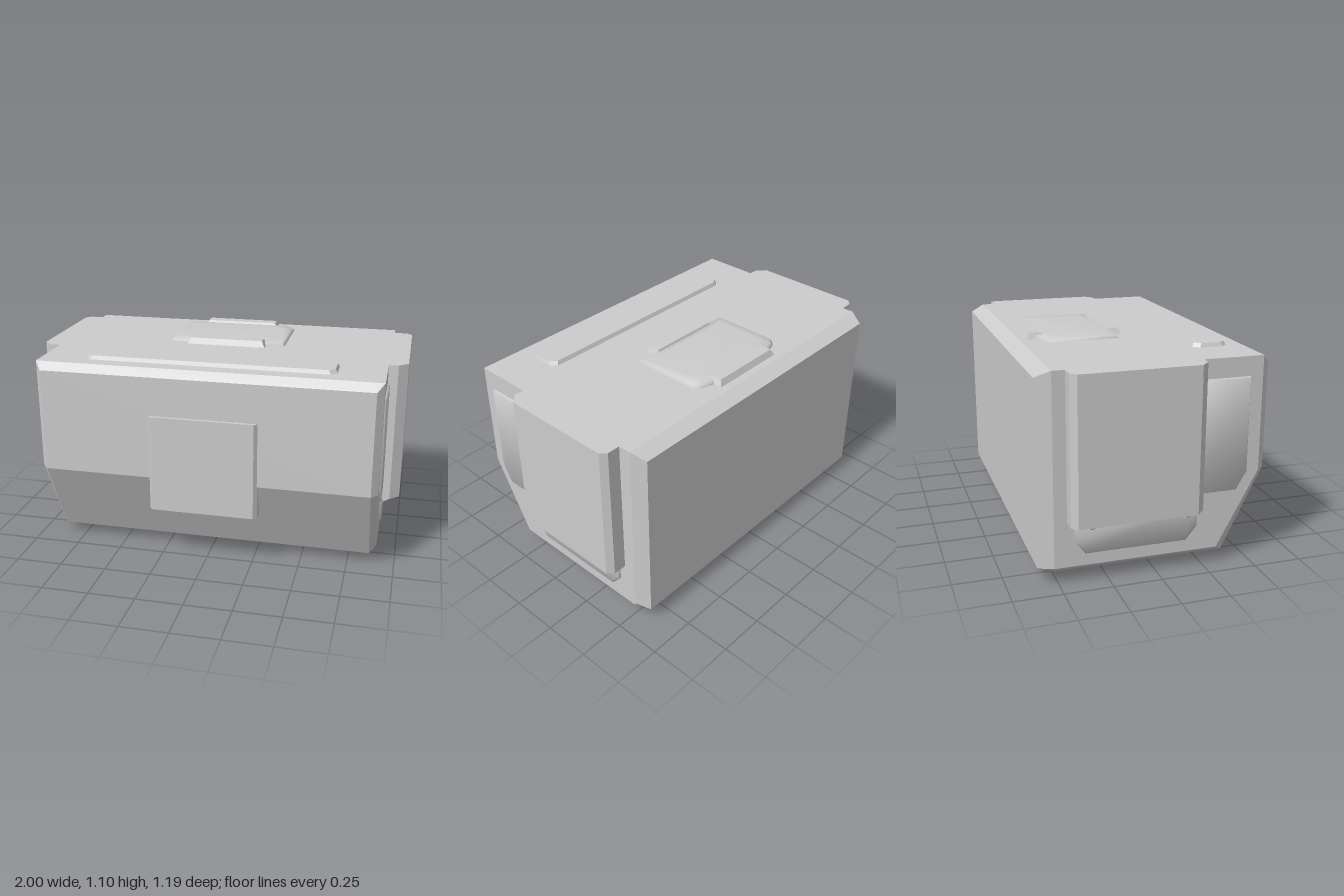
import * as THREE from 'three';
import { toCreasedNormals } from 'three/addons/utils/BufferGeometryUtils.js';

const material = new THREE.MeshStandardMaterial({ color: 0xcccccc });

// Closed solid through matching convex rings of [x, y, z] points.
function loft(name, rings, crease = 0.15) {
  const n = rings[0].length;
  const tris = [];
  for (let r = 0; r < rings.length - 1; r++) {
    for (let i = 0; i < n; i++) {
      const j = (i + 1) % n;
      const [a, b, c, d] = [rings[r][i], rings[r][j], rings[r + 1][j], rings[r + 1][i]];
      tris.push([a, b, c], [a, c, d]);
    }
  }
  const last = rings[rings.length - 1];
  for (let i = 1; i < n - 1; i++) {
    tris.push([rings[0][0], rings[0][i + 1], rings[0][i]], [last[0], last[i], last[i + 1]]);
  }
  // Signed volume tells whether the faces point outwards
  const v = tris.map((t) => t.map((p) => new THREE.Vector3(...p)));
  const volume = v.reduce((s, [a, b, c]) => s + a.dot(b.clone().cross(c)), 0);
  const solid = v.filter(([a, b, c]) => b.clone().sub(a).cross(c.clone().sub(a)).length() > 1e-9);
  const points = solid.flatMap(([a, b, c]) => (volume > 0 ? [a, b, c] : [a, c, b]));
  const geometry = new THREE.BufferGeometry().setFromPoints(points);
  geometry.computeVertexNormals();
  const mesh = new THREE.Mesh(toCreasedNormals(geometry, crease), material);
  mesh.name = name;
  return mesh;
}

const atX = (x, outline) => outline.map(([z, y]) => [x, y, z]);
const atY = (y, outline) => outline.map(([x, z]) => [x, y, z]);
const rect = (a0, a1, b0, b1) => [[a0, b0], [a1, b0], [a1, b1], [a0, b1]];
const cutRect = (a0, a1, b0, b1, c) => [
  [a0 + c, b0], [a1 - c, b0], [a1, b0 + c], [a1, b1 - c],
  [a1 - c, b1], [a0 + c, b1], [a0, b1 - c], [a0, b0 + c],
];

// Pull an outline towards the middle of its bounds by a fixed amount.
function inset(outline, d) {
  const mid = [0, 1].map((k) => {
    const values = outline.map((p) => p[k]);
    return (Math.min(...values) + Math.max(...values)) / 2;
  });
  return outline.map((p) => p.map((value, k) => value - Math.sign(value - mid[k]) * d));
}

export function createModel() {
  const group = new THREE.Group();

  // Main body: side outline in (z, y), chamfered towards both ends
  const end = [[0.54, 1.07], [0.54, 1.07], [0.54, 0.48], [0.325, 0.085],
    [-0.52, 0.085], [-0.52, 0.1], [-0.52, 1.07], [-0.52, 1.07]];
  const middle = [[0.54, 1.07], [0.58, 1.03], [0.58, 0.48], [0.367, 0.055],
    [-0.52, 0.055], [-0.597, 0.083], [-0.597, 1.035], [-0.52, 1.07]];
  // The top keeps its full width at the ends
  group.add(loft('body', [
    atX(-0.9, end), atX(-0.865, middle), atX(0.865, middle), atX(0.9, end),
  ]));

  // Side parts, mirrored
  for (const s of [1, -1]) {
    const side = new THREE.Group();
    side.name = s > 0 ? 'leftSide' : 'rightSide';

    const plan = [[0.86, 0.225], [0.95, 0.225], [1, 0.18], [1, -0.425], [0.97, -0.455], [0.86, -0.455]]
      .map(([x, z]) => [s * x, z]);
    side.add(loft('sidePanel', [atY(0.32, plan), atY(1.07, plan)]));

    const vent = [[0.475, 0.97], [0.475, 0.48], [0.42, 0.387], [0.2, 0.387], [0.2, 0.97]];
    side.add(loft('sideVent', [
      atX(s * 0.88, vent), atX(s * 0.902, vent), atX(s * 0.912, inset(vent, 0.006)),
    ], 1.2));

    const skirt = [[0.213, 0.36], [0.213, 0.215], [0.155, 0.147], [-0.365, 0.147], [-0.42, 0.215], [-0.42, 0.36]];
    side.add(loft('lowerSkirt', [
      atX(s * 0.88, skirt), atX(s * 0.902, skirt), atX(s * 0.912, inset(skirt, 0.008)),
    ], 1.2));

    // Small hooks under the panel
    for (const z of [0.15, -0.34]) {
      const hook = [[0.89, 0.33], [0.955, 0.33], [0.94, 0.285], [0.915, 0.273], [0.89, 0.273]];
      side.add(loft('hook', [z - 0.013, z + 0.013].map((d) => hook.map(([x, y]) => [s * x, y, d]))));
    }
    group.add(side);
  }

  // Front plate with slanted side edges
  const plate = (hw, z) => rect(-hw, hw, 0.305, 0.825).map(([x, y]) => [x, y, z]);
  group.add(loft('frontPlate', [plate(0.288, 0.45), plate(0.288, 0.578), plate(0.27, 0.598)]));

  // Top bar
  const bar = cutRect(-0.662, 0.658, 0.277, 0.46, 0.03);
  group.add(loft('topBar', [atY(1.05, bar), atY(1.07, bar), atY(1.09, inset(bar, 0.01))]));

  // Top hatch with a raised tab at each end
  const hatch = [[-0.32, -0.01], [0.32, -0.01], [0.32, -0.385], [0.285, -0.418],
    [0.215, -0.435], [-0.215, -0.435], [-0.285, -0.418], [-0.32, -0.385]];
  group.add(loft('topHatch', [
    atY(1.05, hatch), atY(1.071, hatch), atY(1.088, inset(hatch, 0.012)), atY(1.093, inset(hatch, 0.06)),
  ], 1.1));
  for (const [z0, z1] of [[-0.05, 0.038], [-0.48, -0.385]]) {
    const tab = rect(-0.217, 0.217, z0, z1);
    group.add(loft('hatchTab', [atY(1.05, tab), atY(1.07, tab), atY(1.102, inset(tab, 0.016))]));
  }

  // Rail underneath, with a thinner tongue at one end
  group.add(loft('bottomRail', [
    atY(0.07, rect(-0.257, 0.738, -0.187, -0.01)),
    atY(0, rect(-0.25, 0.725, -0.174, -0.026)),
  ]));
  const tongue = [[-0.39, 0.07], [-0.39, 0.045], [-0.375, 0.035], [-0.3, 0.026], [-0.23, 0.026], [-0.23, 0.07]];
  group.add(loft('bottomTongue', [-0.155, -0.045].map((z) => tongue.map(([x, y]) => [x, y, z]))));

  return group;
}
